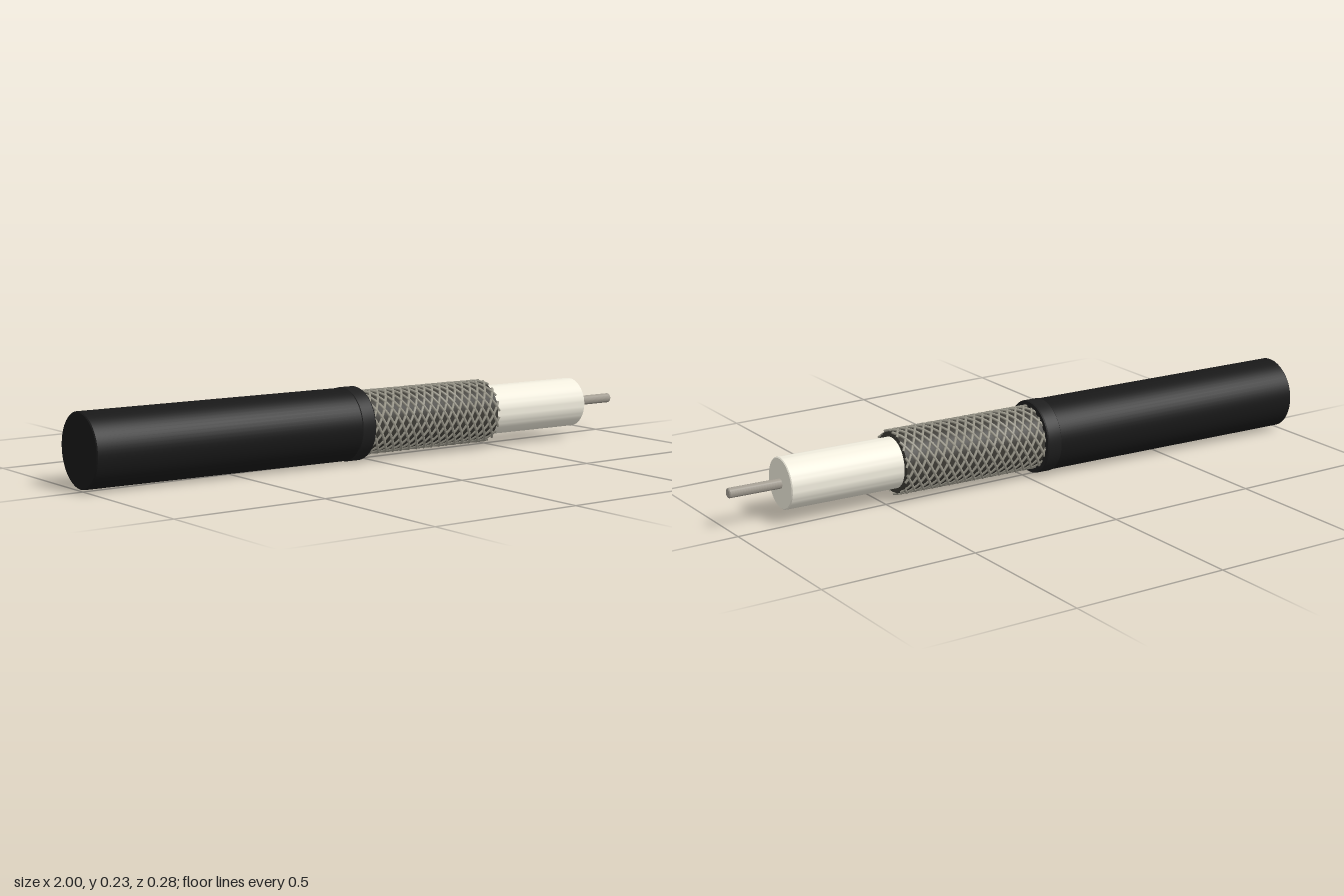
import * as THREE from 'three';
import { toCreasedNormals } from 'three/addons/utils/BufferGeometryUtils.js';

const mat = (color) => new THREE.MeshStandardMaterial({ color });

// Turned part along the x axis; profile is [radius, x] from the back end to the front end
function turned(name, profile, material, sides = 64) {
  const points = profile.map(([r, x]) => new THREE.Vector2(r, x));
  const geometry = toCreasedNormals(new THREE.LatheGeometry(points, sides).rotateZ(-Math.PI / 2), 0.45);
  const mesh = new THREE.Mesh(geometry, material);
  mesh.name = name;
  return mesh;
}

// Solid rod with a small bevel at both ends
const rod = (r, x0, x1, b) => [[0, x0], [r - b, x0], [r, x0 + b], [r, x1 - b], [r - b, x1], [0, x1]];

// Wire strand wound around the x axis
class Helix extends THREE.Curve {
  constructor(radius, x0, x1, turns, phase) {
    super();
    Object.assign(this, { radius, x0, x1, turns, phase });
  }
  getPoint(t, target = new THREE.Vector3()) {
    const a = this.phase + t * this.turns * Math.PI * 2;
    return target.set(
      this.x0 + (this.x1 - this.x0) * t,
      this.radius * Math.cos(a),
      this.radius * Math.sin(a)
    );
  }
}

export function createModel() {
  const model = new THREE.Group();
  model.name = 'coaxialCable';
  const cable = new THREE.Group();
  cable.name = 'cable';
  model.add(cable);

  const black = mat(0x181818);
  const collarBlack = mat(0x1e1e1e);
  const wire = mat(0x9c998c);

  // Outer jacket and the raised collar where it is cut back
  cable.add(turned('jacket', rod(0.1145, -0.997, -0.04, 0.003), black));
  cable.add(turned('jacketCollar', [
    [0.1135, -0.087], [0.1165, -0.084], [0.1165, -0.04], [0.1145, -0.036], [0.095, -0.036],
  ], collarBlack));

  // Dark shield core under the braid
  cable.add(turned('shieldCore', rod(0.096, -0.05, 0.455, 0.001), mat(0x3c3a34)));

  // Braid: strands wound in both directions
  const braid = new THREE.Group();
  braid.name = 'braid';
  const strands = 12;
  for (const dir of [1, -1]) {
    for (let i = 0; i < strands; i++) {
      const path = new Helix(dir > 0 ? 0.099 : 0.0975, -0.045, 0.458, 1.4 * dir, (i / strands) * Math.PI * 2);
      const strand = new THREE.Mesh(new THREE.TubeGeometry(path, 64, 0.0042, 6), wire);
      strand.name = 'braidStrand';
      braid.add(strand);
    }
  }
  cable.add(braid);

  // Insulator and centre conductor
  cable.add(turned('insulator', rod(0.08, 0.44, 0.831, 0.003), mat(0xf0ecdd)));
  cable.add(turned('conductor', rod(0.0155, 0.8, 1.0, 0.003), mat(0xa39d92), 32));

  // The cable lies slightly turned
  cable.rotation.y = -0.0425;
  cable.position.set(0, 0.1165, 0.0165);
  return model;
}
